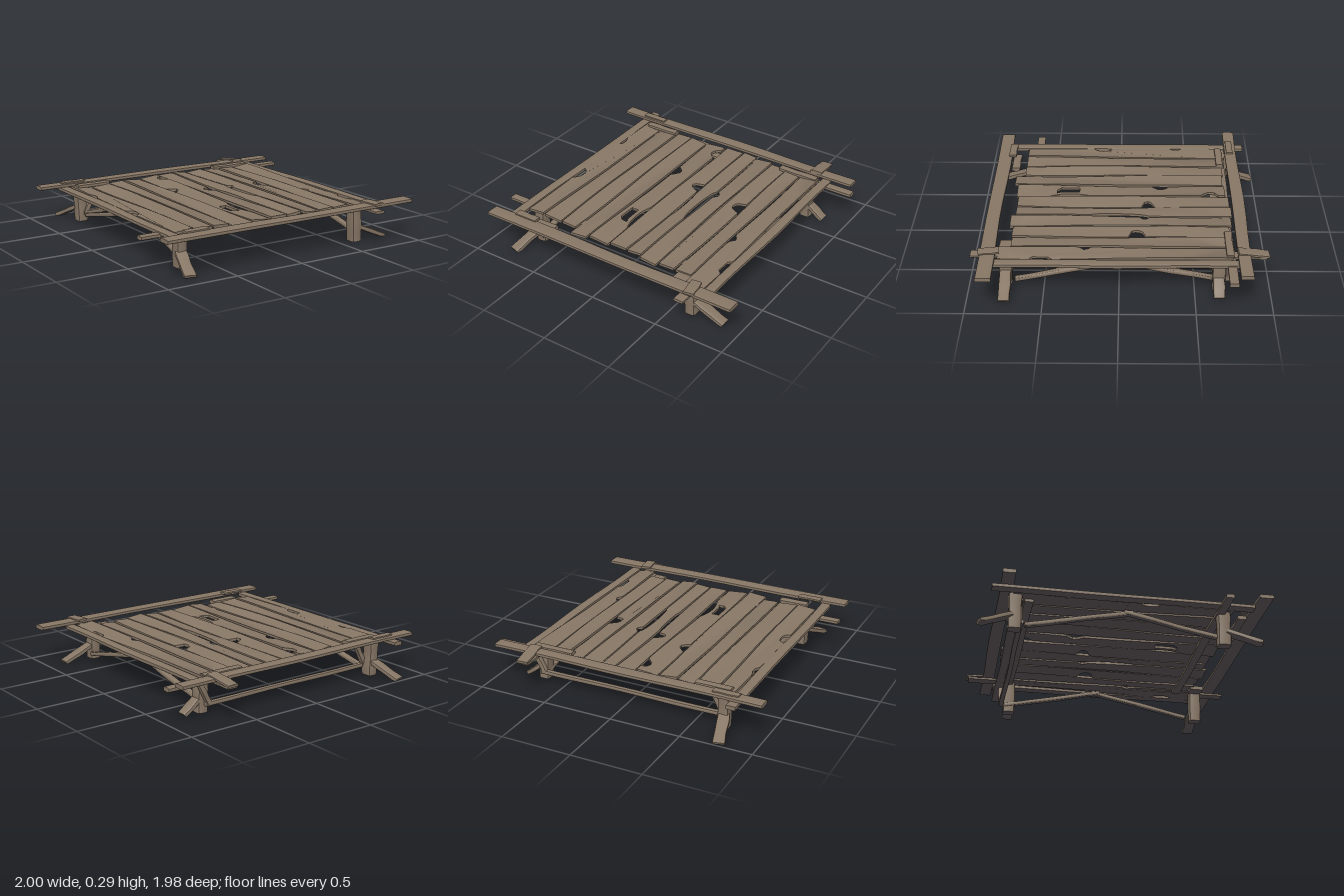
import * as THREE from 'three';
import { toCreasedNormals } from 'three/addons/utils/BufferGeometryUtils.js';

const material = (name, color) => Object.assign(new THREE.MeshStandardMaterial({ color }), { name });
const wood = material('weathered wood', 0x867665);
const dampWood = material('dark damp wood', 0x5f565a);

// Mesh with weathered wood above and dark damp wood on the faces turned to the ground
function timber(name, geometry) {
  const g = toCreasedNormals(geometry, 0.6);
  const pos = g.attributes.position, tri = new THREE.Triangle(), normal = new THREE.Vector3();
  g.clearGroups();
  let start = 0, current = 0;
  for (let i = 0; i < pos.count; i += 3) {
    tri.setFromAttributeAndIndices(pos, i, i + 1, i + 2).getNormal(normal);
    const index = normal.y < -0.7 ? 1 : 0;
    if (index !== current) {
      if (i > start) g.addGroup(start, i - start, current);
      start = i;
      current = index;
    }
  }
  g.addGroup(start, pos.count - start, current);
  const mesh = new THREE.Mesh(g, [wood, dampWood]);
  mesh.name = name;
  return mesh;
}

// Rough-hewn timber from p to q, w wide and h thick, with a slight wobble; never below the ground
function beam(name, p, q, w, h) {
  const dir = q.clone().sub(p), len = dir.length();
  dir.normalize();
  const g = new THREE.CylinderGeometry(1, 1, len, 16, 8);
  const pos = g.attributes.position, seed = p.x * 7 + p.z * 5;
  const square = (v) => Math.sign(v) * Math.pow(Math.abs(v), 0.4);
  for (let i = 0; i < pos.count; i++) {
    const y = pos.getY(i), wave = Math.sin(y / len * 9 + seed);
    const k = (1 + 0.04 * wave) / 2, drift = Math.min(0.004, len * 0.005) * wave;
    pos.setXYZ(i, square(pos.getX(i)) * k * w + drift, y, square(pos.getZ(i)) * k * h);
  }
  // The width lies level; on upright timbers it lies along x
  const level = new THREE.Vector3(0, 1, 0).cross(dir);
  if (dir.y > 0.95) level.set(1, 0, 0);
  const zAxis = level.cross(dir).normalize();
  const xAxis = dir.clone().cross(zAxis);
  const middle = p.clone().add(q).multiplyScalar(0.5);
  g.applyMatrix4(new THREE.Matrix4().makeBasis(xAxis, dir, zAxis).setPosition(middle));
  for (let i = 0; i < pos.count; i++) pos.setY(i, Math.max(0, pos.getY(i)));
  return timber(name, g);
}

const at = (x, y, z) => new THREE.Vector3(x, y, z);
const alongX = (name, x0, x1, y, z, w = 0.06, h = 0.028) => beam(name, at(x0, y, z), at(x1, y, z), w, h);
const alongZ = (name, z0, z1, y, x, w = 0.07, h = 0.03) => beam(name, at(x, y, z0), at(x, y, z1), w, h);

// Thin worn board; each bite eats into one side, and a small power makes it squarer
function plank(i, left, right, z0, z1, bites) {
  const n = 60, points = [];
  const edge = (side, t) => {
    const z = z0 + (z1 - z0) * t;
    let x = (side < 0 ? left : right) + 0.004 * Math.sin(z * 5 + i * 2.3 + side);
    for (const b of bites) {
      const u = (z - b.z) / b.half;
      if (b.side === side && Math.abs(u) < 1) x -= side * b.depth * Math.pow(1 - u * u, b.power ?? 0.5);
    }
    return new THREE.Vector2(x, z);
  };
  for (let k = 0; k <= n; k++) points.push(edge(1, k / n));
  for (let k = n; k >= 0; k--) points.push(edge(-1, k / n));
  const shape = new THREE.Shape(points);
  // The fifth board has a broken-out slot
  if (i === 4) {
    const slot = [[-0.18, 0.29], [-0.125, 0.29], [-0.125, 0.42], [-0.11, 0.45], [-0.15, 0.45], [-0.18, 0.42]];
    shape.holes.push(new THREE.Path(slot.map(([x, z]) => new THREE.Vector2(x, z))));
  }
  const g = new THREE.ExtrudeGeometry(shape, { depth: 0.018, bevelEnabled: false });
  g.rotateX(Math.PI / 2);
  // Warp and twist along the length
  const pos = g.attributes.position, middle = (left + right) / 2;
  for (let k = 0; k < pos.count; k++) {
    const z = pos.getZ(k), twist = (pos.getX(k) - middle) * 0.11 * Math.sin((z + i) * 2.2);
    pos.setY(k, pos.getY(k) + 0.254 + 0.003 * Math.sin(z * 3 + i) + twist);
  }
  return timber('deckPlank' + (i + 1), g);
}

// Knots and breaks, by board
const worn = {
  0: [{ side: -1, z: -0.41, half: 0.05, depth: 0.022 }, { side: -1, z: 0.13, half: 0.07, depth: 0.045 }],
  4: [{ side: 1, z: -0.64, half: 0.05, depth: 0.05 }, { side: -1, z: -0.29, half: 0.045, depth: 0.05 },
    { side: 1, z: 0.36, half: 0.15, depth: 0.03, power: 1 }],
  5: [{ side: 1, z: -0.195, half: 0.03, depth: 0.07, power: 0.2 }],
  6: [{ side: 1, z: 0.0, half: 0.2, depth: 0.025 }, { side: -1, z: 0.05, half: 0.15, depth: 0.01 }],
  7: [{ side: -1, z: -0.17, half: 0.03, depth: 0.028 }],
  8: [{ side: 1, z: -0.115, half: 0.048, depth: 0.068, power: 0.2 }],
  10: [{ side: -1, z: 0.23, half: 0.03, depth: 0.03 }, { side: 1, z: 0.52, half: 0.07, depth: 0.04 }],
};

export function createModel() {
  const model = new THREE.Group();
  model.name = 'woodenPlatform';

  // Deck boards laid side by side, with uneven front ends
  const deck = new THREE.Group();
  deck.name = 'deck';
  const seams = [-0.77, -0.625, -0.48, -0.355, -0.21, -0.055, 0.09, 0.21, 0.34, 0.475, 0.6, 0.74];
  const fronts = [0.695, 0.695, 0.695, 0.76, 0.735, 0.72, 0.72, 0.75, 0.725, 0.72, 0.8];
  fronts.forEach((front, i) => {
    const back = -0.755 - 0.02 * Math.cos(i * 1.05);
    deck.add(plank(i, seams[i], seams[i + 1] - 0.012, back, front, worn[i] ?? []));
  });
  model.add(deck);

  // Outer frame
  model.add(
    alongX('frontRail', -0.95, 1, 0.263, 0.866, 0.1),
    alongX('backRail', -1, 0.965, 0.264, -0.824, 0.088),
    alongZ('rightSideRail', -0.92, 0.82, 0.24, -0.808),
    alongZ('leftSideRail', -0.78, 0.82, 0.24, 0.775),
    alongZ('leftLongBeam', -0.97, 0.98, 0.24, 0.665, 0.075, 0.02),
  );

  // Joists beneath the deck
  model.add(
    alongX('frontJoist', -0.98, 0.6, 0.228, 0.61),
    alongX('backJoist', -0.7, 0.78, 0.227, -0.665),
    alongX('rearCrossBeam', -0.7, 1, 0.23, -0.735),
  );

  // Short battens and corner blocks
  model.add(
    alongX('backBatten', -0.74, -0.49, 0.26, -0.73, 0.05),
    alongX('backBatten', 0.425, 0.72, 0.26, -0.73, 0.05),
    alongX('cornerBlock', -0.83, -0.65, 0.28, -0.815, 0.05, 0.018),
    alongX('cornerBlock', -0.77, -0.6, 0.28, 0.808, 0.055, 0.018),
    alongX('cornerBlock', -0.68, -0.47, 0.236, 0.775),
    alongX('cornerBlock', 0.495, 0.595, 0.228, 0.75, 0.1),
    beam('cornerBlock', at(0.685, 0.284, -0.78), at(0.67, 0.252, -0.985), 0.085, 0.02),
    beam('cornerBlock', at(0.68, 0.28, 0.79), at(0.7, 0.278, 0.925), 0.075, 0.018),
  );

  // Posts, each with a foot splayed out by dx and dz
  const corners = [
    { name: 'frontRight', x: -0.7, z: 0.635, dx: -0.07, dz: 0.245 },
    { name: 'frontLeft', x: 0.622, z: 0.755, dx: 0.25, dz: 0 },
    { name: 'backRight', x: -0.705, z: -0.758, dx: -0.06, dz: -0.23 },
    { name: 'backLeft', x: 0.688, z: -0.66, dx: 0.14, dz: 0 },
  ];
  for (const { name, x, z, dx, dz } of corners) {
    model.add(beam(name + 'Post', at(x + 0.005, 0, z), at(x - 0.005, 0.245, z), 0.078, 0.088));
    model.add(beam(name + 'Foot', at(x + dx * 0.1, 0.1, z + dz * 0.1), at(x + dx, 0.004, z + dz), 0.078, 0.035));
  }

  // Low stretcher and short leaning struts at the back
  model.add(alongX('backStretcher', -0.7, 0.69, 0.064, -0.715, 0.035));
  for (const x of [-0.68, 0.665])
    model.add(beam('cornerStrut', at(x, 0.07, -0.72), at(x + 0.08, 0.225, -0.72), 0.04, 0.035));

  // Diagonal braces rising to the middle of each side
  for (const x of [-0.68, 0.67]) {
    for (const s of [-1, 1])
      model.add(beam('sideBrace', at(x, 0.05, s * 0.69), at(x + 0.02, 0.212, s * -0.03), 0.04, 0.03));
  }
  return model;
}
